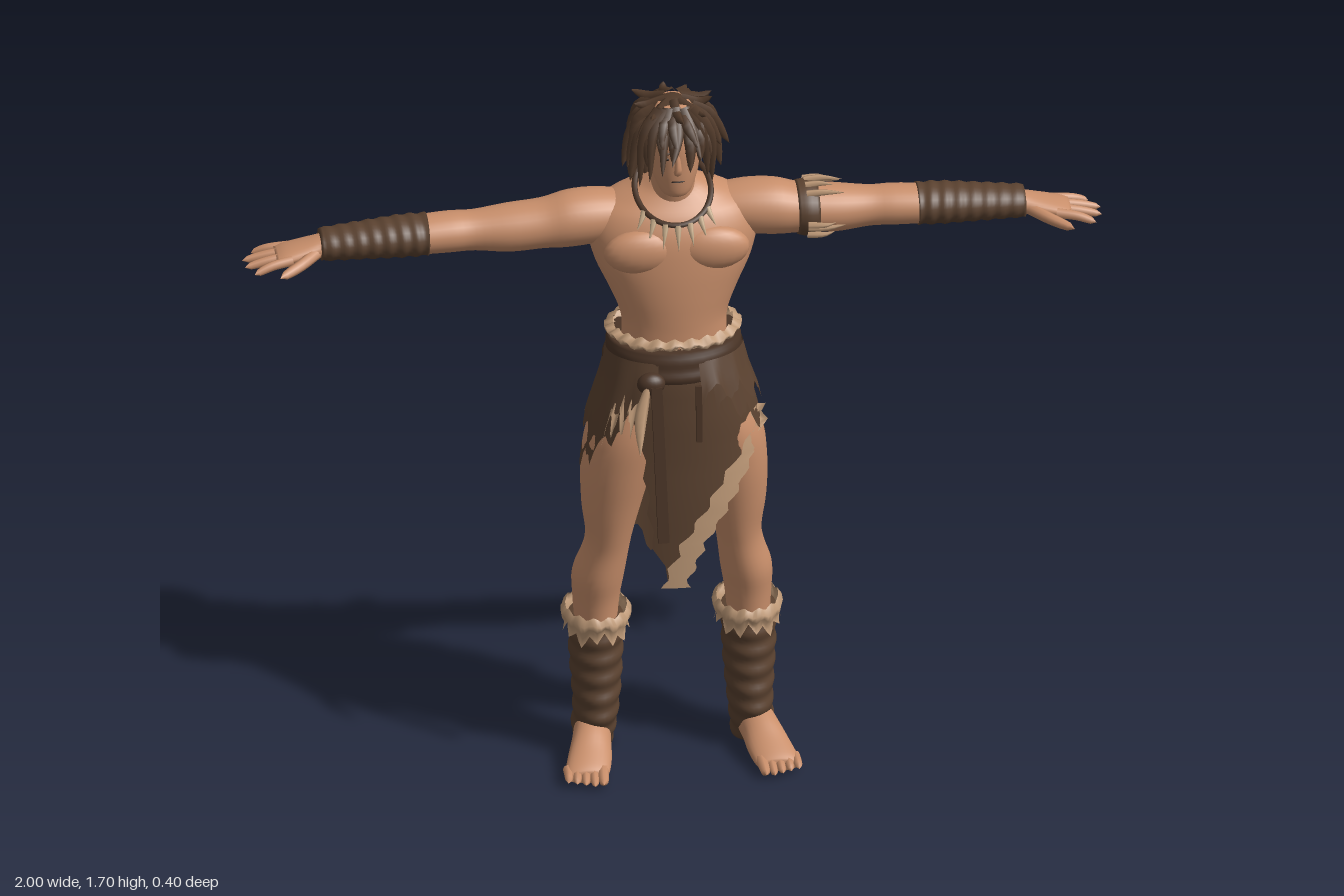
import * as THREE from 'three';

const { sin, cos, PI, abs, max, min, pow, sqrt } = Math;
const V = (x, y, z) => new THREE.Vector3(x, y, z);
const mat = (name, color, side = THREE.FrontSide) =>
  Object.assign(new THREE.MeshStandardMaterial({ color, side }), { name });

// Smooth body through elliptical rings [s, c1, c2, r1, r2] along axis x, y or z
function loft(axis, rings, { n = 28, sub = 4, ripple = 0, freq = 0 } = {}) {
  const spline = new THREE.CubicInterpolant(rings.map((_, i) => i), rings.flat(), 5);
  const rows = (rings.length - 1) * sub, pos = [], idx = [];
  const put = (s, a, b) => pos.push(...(axis === 'y' ? [a, s, b] : axis === 'x' ? [s, a, b] : [a, b, s]));
  const dir = axis === 'y' ? 1 : -1;
  for (let i = 0; i <= rows; i++) {
    const [s, c1, c2, r1, r2] = spline.evaluate(i / sub);
    for (let j = 0; j < n; j++) {
      const a = dir * j / n * 2 * PI, k = 1 + ripple * sin(s * freq + 1.2 * sin(a));
      put(s, c1 + r1 * k * cos(a), c2 + r2 * k * sin(a));
    }
  }
  for (const r of [rings[0], rings.at(-1)]) put(r[0], r[1], r[2]);
  const foot = (rows + 1) * n;
  for (let j = 0; j < n; j++) {
    const k = (j + 1) % n;
    for (let i = 0; i < rows; i++) {
      const a = i * n + j, b = i * n + k;
      idx.push(a, a + n, b + n, a, b + n, b);
    }
    idx.push(foot, j, k, foot + 1, rows * n + k, rows * n + j);
  }
  return finish(pos, idx);
}
function finish(pos, idx) {
  const g = new THREE.BufferGeometry();
  g.setAttribute('position', new THREE.Float32BufferAttribute(pos, 3));
  g.setIndex(idx);
  g.computeVertexNormals();
  return g;
}
// Open surface from a rule (u, v) -> [x, y, z]
function sheet(nu, nv, fn) {
  const pos = [], idx = [];
  for (let j = 0; j <= nv; j++) for (let i = 0; i <= nu; i++) pos.push(...fn(i / nu, j / nv));
  for (let j = 0; j < nv; j++) for (let i = 0; i < nu; i++) {
    const a = j * (nu + 1) + i, b = a + nu + 1;
    idx.push(a, b, a + 1, b, b + 1, a + 1);
  }
  return finish(pos, idx);
}
// Tube whose radius follows a rule: finger, hair lock, strap
function sweep(points, radius, seg = 8, sides = 8, closed = false) {
  const curve = new THREE.CatmullRomCurve3(points, closed);
  const g = new THREE.TubeGeometry(curve, seg, 1, sides, closed), p = g.attributes.position, v = V();
  for (let i = 0; i < p.count; i++) {
    const t = Math.floor(i / (sides + 1)) / seg, c = curve.getPointAt(t);
    v.fromBufferAttribute(p, i).sub(c).multiplyScalar(radius(t)).add(c);
    p.setXYZ(i, v.x, v.y, v.z);
  }
  return g;
}
const digit = (r) => (t) => r * (1 - 0.2 * t) * sqrt(max(0, 1 - pow(t, 8)));
function mirrored(g) {
  const m = g.clone().scale(-1, 1, 1), a = m.index.array;
  for (let i = 0; i < a.length; i += 3) [a[i], a[i + 1]] = [a[i + 1], a[i]];
  return m;
}
const saw = (t) => abs((t % 1) * 2 - 1);
const mix = THREE.MathUtils.lerp;
// Piecewise linear lookup in rows [key descending, values...]
function look(rows, k) {
  let i = 0;
  while (i < rows.length - 2 && k < rows[i + 1][0]) i++;
  const t = min(1, max(0, (rows[i][0] - k) / (rows[i][0] - rows[i + 1][0])));
  return rows[i].slice(1).map((a, j) => mix(a, rows[i + 1][j + 1], t));
}
// Shaggy ring of fur with teeth above and below
const fur = (cx, cz, rx, rz, y0, y1, teeth) => sheet(teeth * 4, 4, (u, v) => {
  const a = -u * 2 * PI, tooth = saw(u * teeth), bulge = 0.86 + 0.14 * sin(PI * min(1, v * 1.5)) + (v === 1 ? 0.08 * tooth : 0);
  const y = mix(y1 - 0.012 * saw(u * teeth + 0.3), y0 + 0.024 * (1 - tooth) + 0.008 * sin(a * 5), v);
  return [cx + rx * bulge * cos(a), y, cz + rz * bulge * sin(a)];
});

export function createModel() {
  const skin = mat('skin', 0xc98f6b), hide = mat('brown hide', 0x5b4230, THREE.DoubleSide);
  const hairMat = mat('hair', 0x513a2a), furMat = mat('tan fur', 0xbf9a78, THREE.DoubleSide);
  const belt = mat('dark leather', 0x4a3426), bone = mat('bone', 0xc9ae8c), dark = mat('eye dark', 0x2a1d16);
  const root = new THREE.Group();
  root.name = 'figure';
  const add = (name, g, m) => {
    const mesh = new THREE.Mesh(g, m);
    mesh.name = name;
    root.add(mesh);
    return mesh;
  };
  const pair = (name, g, m) => { add(name + 'Left', g, m); add(name + 'Right', mirrored(g), m); };
  const ball = (r, sx, sy, sz, x, y, z) => new THREE.SphereGeometry(r, 20, 14).scale(sx, sy, sz).translate(x, y, z);
  let seed = 7;
  const rnd = () => (seed = (seed * 16807) % 2147483647) / 2147483647;

  // Torso, neck and chest
  add('torso', loft('y', [[0.98, 0, -0.01, 0.13, 0.1], [1.1, 0, -0.002, 0.122, 0.088], [1.15, 0, -0.006, 0.126, 0.092],
    [1.21, 0, -0.014, 0.15, 0.1], [1.28, 0, -0.024, 0.182, 0.106], [1.35, 0, -0.037, 0.198, 0.108],
    [1.4, 0, -0.05, 0.185, 0.098], [1.43, 0, -0.06, 0.14, 0.082], [1.455, 0, -0.055, 0.085, 0.06], [1.48, 0, -0.045, 0.048, 0.045]],
    { n: 40 }), skin);
  add('neck', loft('y', [[1.4, 0, -0.05, 0.06, 0.06], [1.46, 0, -0.03, 0.052, 0.053], [1.53, 0, -0.012, 0.05, 0.05]]), skin);
  pair('chest', ball(1, 0.088, 0.055, 0.038, 0.082, 1.325, 0.045), skin);
  add('pelvis', loft('y', [[0.86, 0, -0.015, 0.06, 0.07], [0.92, 0, -0.015, 0.13, 0.105], [1.0, 0, -0.01, 0.145, 0.11]]), hide);

  // Arms, hands and wrist wraps
  pair('arm', loft('x', [[0.08, 1.38, -0.06, 0.045, 0.055], [0.17, 1.377, -0.055, 0.063, 0.07], [0.24, 1.374, -0.05, 0.066, 0.07],
    [0.3, 1.366, -0.05, 0.058, 0.064], [0.38, 1.36, -0.05, 0.056, 0.062], [0.46, 1.36, -0.048, 0.047, 0.052],
    [0.52, 1.361, -0.045, 0.047, 0.055], [0.6, 1.36, -0.04, 0.044, 0.053], [0.7, 1.356, -0.04, 0.038, 0.046],
    [0.8, 1.35, -0.04, 0.028, 0.036], [0.85, 1.344, -0.037, 0.022, 0.042], [0.9, 1.337, -0.032, 0.017, 0.046], [0.925, 1.334, -0.03, 0.01, 0.042]]), skin);
  [[-0.068, -0.083, 0.975], [-0.043, -0.048, 1], [-0.018, -0.013, 0.998], [0.005, 0.025, 0.98]].forEach(([z0, z1, x], i) =>
    pair('finger' + i, sweep([V(0.89, 1.337, z0), V(0.94, 1.33, mix(z0, z1, 0.5)), V(x, 1.316, z1)], digit(0.0125)), skin));
  pair('thumb', sweep([V(0.83, 1.343, -0.015), V(0.87, 1.335, 0.025), V(0.925, 1.322, 0.062)], digit(0.015)), skin);
  pair('wristWrap', loft('x', [[0.57, 1.36, -0.042, 0.047, 0.058], [0.63, 1.36, -0.04, 0.047, 0.058], [0.72, 1.356, -0.04, 0.042, 0.053],
    [0.82, 1.351, -0.04, 0.036, 0.046]], { sub: 16, ripple: 0.035, freq: 190 }), hide);

  // Band with feathers on the upper left arm
  add('armband', loft('x', [[0.29, 1.366, -0.05, 0.062, 0.069], [0.315, 1.364, -0.05, 0.066, 0.073], [0.34, 1.362, -0.05, 0.062, 0.068]]), hide);
  for (let i = 0; i < 9; i++) {
    const a = i / 9 * PI * 1.1 - 0.3, y = cos(a), z = sin(a - PI / 2 + 0.5), c = sqrt(1 - z * z) * (y < -0.3 ? -1 : 1);
    add('armbandFeather', sweep([V(0.31, 1.363 + 0.065 * c, -0.05 + 0.073 * z), V(0.35, 1.363 + 0.068 * c, -0.05 + 0.077 * z),
      V(0.375 + 0.025 * (i % 2), 1.363 + 0.061 * c, -0.05 + 0.07 * z)], (t) => 0.009 * (1 - t * t), 6, 5), furMat);
  }

  // Legs, feet and boot wraps
  pair('leg', loft('y', [[0.28, 0.178, -0.035, 0.046, 0.052], [0.38, 0.177, -0.043, 0.054, 0.068], [0.45, 0.172, -0.039, 0.06, 0.078],
    [0.52, 0.157, -0.024, 0.054, 0.068], [0.57, 0.15, -0.015, 0.055, 0.067], [0.65, 0.145, -0.01, 0.07, 0.078],
    [0.75, 0.133, -0.005, 0.084, 0.092], [0.85, 0.115, -0.005, 0.088, 0.102], [0.96, 0.085, -0.01, 0.07, 0.09]]), skin);
  pair('foot', loft('z', [[-0.08, 0.18, 0.036, 0.03, 0.03], [-0.03, 0.186, 0.05, 0.042, 0.048], [0.04, 0.198, 0.046, 0.046, 0.045],
    [0.1, 0.21, 0.032, 0.052, 0.032], [0.145, 0.22, 0.022, 0.052, 0.022], [0.165, 0.223, 0.018, 0.045, 0.014]]), skin);
  for (let i = 0; i < 5; i++) {
    const x = 0.184 + i * 0.02, r = i ? 0.012 : 0.015, z = 0.2 - 0.008 * max(0, i - 1);
    pair('toe' + i, sweep([V(x, 0.025, 0.13), V(x + 0.003, 0.021, 0.17), V(x + 0.005, r, z)], digit(r)), skin);
  }
  pair('bootWrap', loft('y', [[0, 0.181, -0.05, 0.042, 0.05], [0.045, 0.184, -0.035, 0.05, 0.068], [0.1, 0.18, -0.025, 0.052, 0.074],
    [0.17, 0.178, -0.027, 0.057, 0.069], [0.25, 0.178, -0.034, 0.062, 0.071], [0.34, 0.178, -0.042, 0.063, 0.075]],
    { sub: 12, ripple: 0.04, freq: 130 }), hide);
  pair('bootFur', fur(0.176, -0.045, 0.083, 0.1, 0.295, 0.368, 13), furMat);

  // Layered skirt: rows [y, half width, front z, back z]
  const shape = [[1.1, 0.148, 0.1, -0.13], [1, 0.16, 0.118, -0.142], [0.9, 0.182, 0.124, -0.15], [0.8, 0.2, 0.126, -0.158],
    [0.7, 0.212, 0.13, -0.168], [0.4, 0.22, 0.135, -0.2]];
  const around = (a, y, off) => {
    const [rx, f, b] = look(shape, y), s = sin(a);
    return [(rx + off) * cos(a), y, s * ((s > 0 ? f : -b) + off)];
  };
  const layer = (y0, hem, off, teeth, from, to, tooth) => sheet(teeth * 6, 8, (u, v) => {
    const a = mix(from, to, u), s = sin(a), jag = tooth * (saw(u * teeth) + 0.4 * saw(u * teeth * 2.3));
    return around(a, mix(y0, hem(s, cos(a)) + 0.5 * tooth - jag, v), off * (0.3 + 0.7 * v));
  });
  const rise = (s) => 0.3 * pow(max(0, s), 1.5);
  add('skirtLowerLayer', layer(1.05, (s) => 0.73 + rise(s) - 0.3 * pow(max(0, -s), 4), 0, 17, 1.05, -PI - 1.0, 0.05), hide);
  add('skirtMiddleLayer', layer(1.05, (s, c) => 0.81 + 0.6 * rise(s) - 0.06 * max(0, -s) + 0.03 * c, 0.014, 15, 1.1, -PI - 1.05, 0.05), hide);
  add('skirtUpperLayer', layer(1.06, (s, c) => 0.91 + 0.3 * rise(s) - 0.03 * max(0, -s) + 0.03 * c, 0.022, 14, 1.3, -PI - 1.25, 0.045), hide);
  add('skirtSideFur', layer(1.0, (s) => 0.85 + 0.1 * s, 0.027, 4, -PI - 0.6, -PI - 1.1, 0.07), furMat);

  // Front panel with a fur edge: rows [y, left x, right x]
  const panel = [[1.04, -0.1, 0.15], [0.86, -0.085, 0.19], [0.7, -0.07, 0.1], [0.6, -0.06, 0.035], [0.5, -0.02, -0.008]];
  const onFront = (x, y, off) => {
    const [rx, f] = look(shape, y);
    return [x, y, (f + off) * sqrt(max(0.05, 1 - pow(x / (rx + off), 2)))];
  };
  add('frontPanel', sheet(10, 24, (u, v) => {
    const y = mix(1.04, 0.5, v), [l, r] = look(panel, y);
    return onFront(mix(l - 0.012 * saw(v * 6), r, u), y, 0.006);
  }), hide);
  add('frontPanelFur', sheet(4, 40, (u, v) => {
    const y = mix(0.9, 0.49, v), [, r] = look(panel, y), w = 0.045 * min(1, 0.3 + 2 * v);
    return onFront(r + mix(-w + 0.018 * saw(v * 7 + 0.4), 0.012 + 0.016 * saw(v * 9), u), y, 0.012);
  }), furMat);

  // Belt, waist fur, knot and hanging straps
  add('belt', loft('y', [[1.0, 0, -0.012, 0.163, 0.134], [1.03, 0, -0.013, 0.164, 0.135], [1.085, 0, -0.015, 0.152, 0.122]],
    { n: 36, sub: 8, ripple: 0.012, freq: 160 }), belt);
  add('waistFur', fur(0, -0.02, 0.162, 0.128, 1.06, 1.115, 22), furMat);
  add('beltKnot', ball(0.03, 1.1, 0.9, 0.8, -0.07, 1.02, 0.125), belt);
  const strap = (name, x0, y0, z0, x1, y1, z1, w, m) => add(name,
    new THREE.BoxGeometry(w, V(x0, y0, z0).distanceTo(V(x1, y1, z1)), 0.01), m)
    .position.set((x0 + x1) / 2, (y0 + y1) / 2, (z0 + z1) / 2) && root.children.at(-1)
    .quaternion.setFromUnitVectors(V(0, 1, 0), V(x0 - x1, y0 - y1, z0 - z1).normalize());
  strap('longStrap', -0.06, 1.02, 0.145, -0.05, 0.64, 0.197, 0.026, belt);
  strap('shortStrap', 0.04, 1.01, 0.132, 0.04, 0.87, 0.142, 0.014, belt);
  strap('backStrap', -0.05, 1.05, -0.15, -0.06, 0.92, -0.175, 0.016, belt);
  add('beltFeather', sweep([V(-0.08, 1.02, 0.14), V(-0.1, 0.95, 0.17), V(-0.105, 0.87, 0.2)], (t) => 0.014 * sin(PI * (0.15 + 0.85 * t)), 8, 6), furMat);

  // Necklace with fangs
  const neckPt = (a) => V(0.088 * cos(a), 1.45 - 0.05 * sin(a), -0.025 + 0.092 * sin(a));
  add('necklace', sweep(Array.from({ length: 16 }, (_, i) => neckPt(i / 8 * PI)), () => 0.007, 48, 6, true), belt);
  for (let i = -3; i <= 3; i++) {
    const p = neckPt(PI / 2 + i * 0.32), len = 0.062 - 0.006 * abs(i);
    add('fang', sweep([p, V(p.x * 1.15, p.y - len * 0.5, p.z + 0.012), V(p.x * 1.3, p.y - len, p.z + 0.018)], (t) => 0.009 * (1 - t), 6, 6), bone);
  }

  // Head and face
  add('head', loft('y', [[1.462, 0, 0.03, 0.016, 0.014], [1.475, 0, 0.024, 0.035, 0.036], [1.51, 0, 0.008, 0.051, 0.058],
    [1.55, 0, 0, 0.059, 0.068], [1.6, 0, -0.006, 0.066, 0.074], [1.65, 0, -0.014, 0.062, 0.072], [1.685, 0, -0.015, 0.035, 0.045]]), skin);
  add('nose', sweep([V(0, 1.585, 0.062), V(0, 1.56, 0.07), V(0, 1.543, 0.072), V(0, 1.535, 0.058)], (t) => 0.005 + 0.006 * t, 8, 8), skin);
  pair('ear', ball(1, 0.012, 0.024, 0.016, 0.062, 1.56, -0.01), skin);
  pair('eye', ball(1, 0.011, 0.004, 0.004, 0.025, 1.572, 0.061), dark);
  pair('brow', ball(1, 0.015, 0.003, 0.004, 0.026, 1.587, 0.063), hairMat);
  add('mouth', ball(1, 0.016, 0.002, 0.004, 0, 1.513, 0.0645), dark);

  // Shaggy hair: a cap and rings of pointed locks [elevation, count, reach, drop]
  add('hairCap', ball(1, 0.078, 0.08, 0.086, 0, 1.61, -0.026), hairMat);
  [[1.25, 9, 0.035, -0.02], [0.85, 16, 0.04, 0.055], [0.45, 20, 0.034, 0.085], [0.0, 18, 0.03, 0.085], [-0.4, 16, 0.028, 0.085]].forEach(([el, count, reach, drop]) => {
    for (let i = 0; i < count; i++) {
      const a = (i + 0.6 * rnd()) / count * 2 * PI, s = sin(a), c = cos(a), k = 0.75 + 0.5 * rnd();
      if ((el < 0.2 && s > 0.25) || (el < -0.2 && s > -0.1)) continue;
      const at = (e, out) => V((0.074 * cos(e) + out) * c, 1.61 + 0.076 * sin(e), -0.026 + (0.082 * cos(e) + out) * s);
      const p = at(el, -0.006), q = at(el - 0.3, 0.018), tip = at(el - 0.55, reach * k);
      tip.y -= drop * k * (s > 0.5 ? 0.5 : 1);
      tip.x += 0.03 * (rnd() - 0.5);
      add('hairLock', sweep([p, q, tip], (t) => 0.022 * pow(1 - t, 0.7) * (0.7 + 0.6 * t), 7, 5), hairMat);
    }
  });
  // Long fringe locks over the brow and beside the face
  [[-0.025, -0.04, 1.545, 0.098], [-0.045, -0.066, 1.52, 0.07], [0.0, -0.02, 1.575, 0.112], [0.03, 0.052, 1.575, 0.085], [0.05, 0.072, 1.52, 0.05], [-0.06, -0.085, 1.49, 0.035], [0.06, 0.085, 1.49, 0.03]]
    .forEach(([x, tx, ty, tz]) => add('fringe', sweep([V(x * 0.6, 1.68, 0.02), V(x * 1.25, 1.63, 0.072 - abs(x) * 0.5), V(tx, ty, tz)],
      (t) => 0.018 * pow(1 - t, 0.6), 9, 5), hairMat));
  return root;
}
